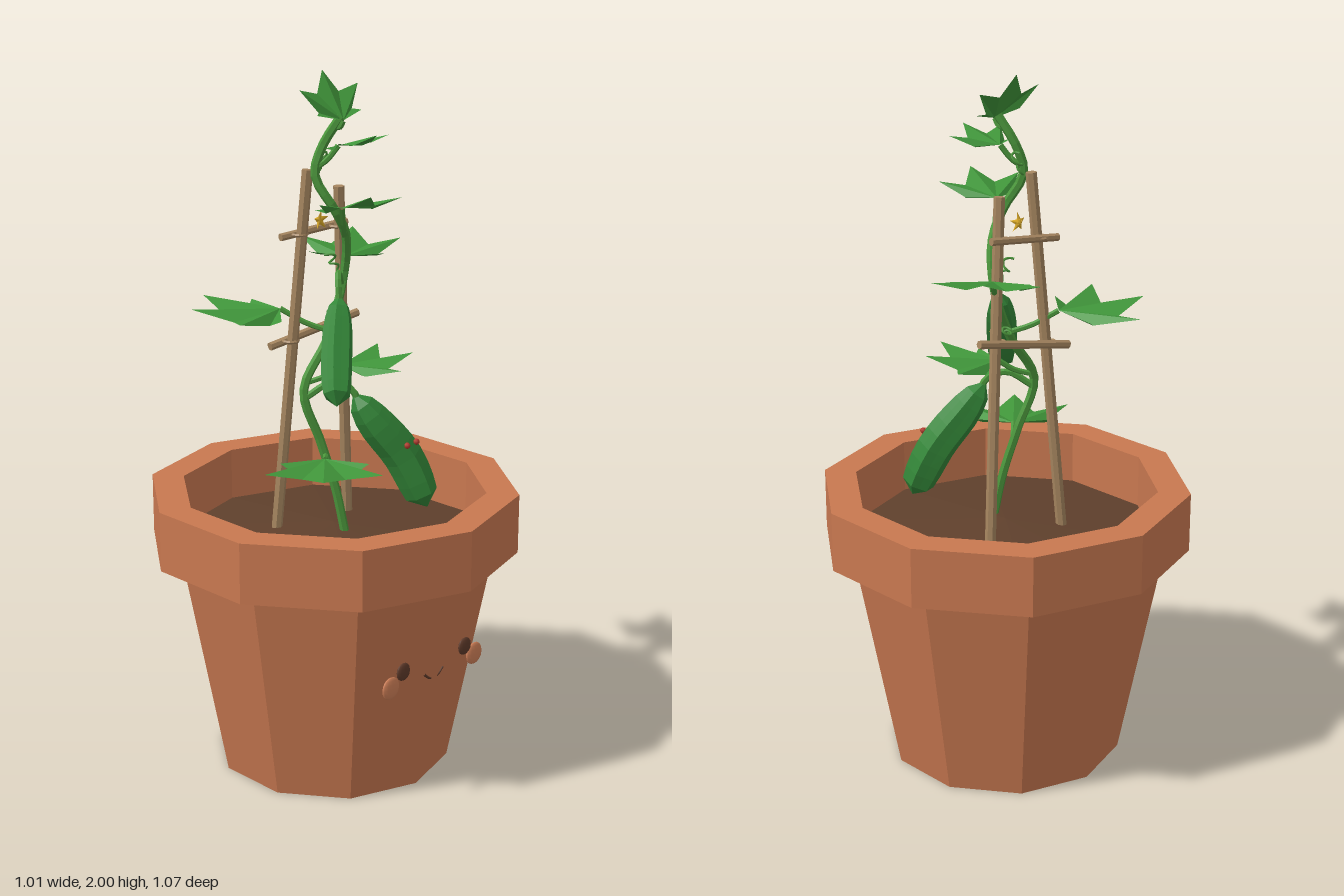
import * as THREE from 'three';

const mat = (name, color, side = THREE.FrontSide) => {
  const m = new THREE.MeshStandardMaterial({ color, side });
  m.name = name;
  return m;
};
const V = (p) => new THREE.Vector3(...p);
const curveOf = (pts) => new THREE.CatmullRomCurve3(pts.map(V));

// Faceted normals for a low-poly look
function faceted(geo) {
  const g = geo.index ? geo.toNonIndexed() : geo;
  g.computeVertexNormals();
  return g;
}

export function createModel() {
  const clay = mat('terracotta', 0xc87850);
  const soilMat = mat('soil brown', 0x5f402c);
  const wood = mat('cane wood', 0xa5855f);
  const leafMat = mat('leaf green', 0x40953a, THREE.DoubleSide);
  const stemMat = mat('stem green', 0x4b963c);
  const fruitMat = mat('cucumber green', 0x338638);
  const yellow = mat('flower yellow', 0xe2b02a, THREE.DoubleSide);
  const dark = mat('face brown', 0x5e3a2a);
  const blush = mat('cheek clay', 0xd08058);
  const red = mat('mark red', 0xb03a2c);

  const root = new THREE.Group();
  const add = (name, geo, material, pos = [0, 0, 0], parent = root) => {
    const m = new THREE.Mesh(geo, material);
    m.name = name;
    m.position.set(...pos);
    parent.add(m);
    return m;
  };

  // Pot: ten-sided, with a thick rim
  const profile = [[0, 0], [0.34, 0], [0.465, 0.65], [0.533, 0.65], [0.533, 0.823], [0.44, 0.823], [0.44, 0.65]];
  add('pot', faceted(new THREE.LatheGeometry(profile.map((p) => new THREE.Vector2(...p)), 10)), clay);
  add('soil', faceted(new THREE.ConeGeometry(0.44, 0.04, 10)), soilMat, [0, 0.69, 0]);

  // Face on the pot
  for (const s of [-1, 1]) {
    add('eye', new THREE.SphereGeometry(0.026, 12, 8).scale(1, 1, 0.3), dark, [s * 0.125, 0.41, 0.404]);
    add('cheek', new THREE.SphereGeometry(0.033, 12, 8).scale(1, 1, 0.25), blush, [s * 0.17, 0.373, 0.4]);
  }
  const smile = curveOf([[-0.038, 0.373, 0.4], [-0.02, 0.358, 0.401], [0, 0.353, 0.401], [0.02, 0.358, 0.401], [0.038, 0.373, 0.4]]);
  add('mouth', new THREE.TubeGeometry(smile, 12, 0.004, 6), dark);

  // Straight rods between two points
  const rod = (name, a, b, r) => {
    const from = V(a), to = V(b);
    const dir = to.clone().sub(from);
    const m = add(name, faceted(new THREE.CylinderGeometry(r, r, dir.length(), 7)), wood);
    m.position.copy(from).add(to).multiplyScalar(0.5);
    m.quaternion.setFromUnitVectors(new THREE.Vector3(0, 1, 0), dir.normalize());
  };
  rod('leftCane', [-0.115, 0.69, -0.115], [-0.045, 1.73, -0.055], 0.016);
  rod('rightCane', [0.125, 0.69, -0.07], [0.055, 1.675, -0.035], 0.016);
  rod('lowerCrossbar', [-0.135, 1.235, -0.115], [0.165, 1.29, -0.07], 0.012);
  rod('upperCrossbar', [-0.11, 1.545, -0.095], [0.11, 1.565, -0.06], 0.011);

  // Twine where canes and crossbars meet
  for (const p of [[-0.08, 1.247, -0.09], [0.088, 1.277, -0.065], [-0.058, 1.55, -0.075], [0.064, 1.56, -0.05]]) {
    add('tie', faceted(new THREE.TorusGeometry(0.022, 0.005, 5, 8)).rotateX(Math.PI / 2), wood, p);
  }

  // Vine and leaf stalks
  const tube = (name, pts, r, seg) =>
    add(name, faceted(new THREE.TubeGeometry(curveOf(pts), seg, r, 6)), stemMat);
  tube('vine', [[-0.01, 0.69, 0.06], [-0.03, 0.83, 0.04], [-0.06, 0.97, 0.01], [-0.095, 1.12, -0.02], [-0.01, 1.26, -0.01],
    [0.07, 1.42, -0.03], [0.05, 1.54, 0], [-0.01, 1.62, 0.02], [-0.05, 1.72, -0.02], [-0.03, 1.8, -0.01], [0, 1.88, 0.03]], 0.013, 44);

  // Five-lobed leaf, ridged along each lobe; axis +z
  const outline = [[-74, 0.58], [-60, 0.48], [-47, 1], [-24, 0.66], [0, 1.02], [24, 0.66], [47, 1], [60, 0.48], [74, 0.58]];
  const leafGeometry = (size) => {
    const pts = outline.map(([deg, r], i) => {
      const a = THREE.MathUtils.degToRad(deg);
      const y = i % 2 ? -0.1 : -0.02;
      return new THREE.Vector3(Math.sin(a) * r, y, Math.cos(a) * r).multiplyScalar(size);
    });
    const tris = [];
    for (let i = 0; i < pts.length - 1; i++) tris.push(new THREE.Vector3(), pts[i], pts[i + 1]);
    return faceted(new THREE.BufferGeometry().setFromPoints(tris));
  };
  // [base, heading, length, upward tilt, roll, point on vine]
  const leaves = [
    [[-0.1, 1.34, -0.11], -115, 0.25, 5, 0, [0.0, 1.275, -0.01]],
    [[0.12, 1.46, -0.075], 129, 0.2, 14, 0, [0.065, 1.4, -0.03]],
    [[-0.12, 0.95, 0.09], -45, 0.22, 3, 0, [-0.05, 0.93, 0.02]],
    [[0, 1.185, 0.03], 57, 0.205, 8, 0, [-0.075, 1.14, -0.02]],
    [[-0.03, 1.64, 0.065], -17, 0.17, 20, 0, [0.045, 1.54, 0]],
    [[0, 1.8, 0.02], 4, 0.14, 18, 0, [-0.045, 1.74, -0.02]],
    [[0, 1.87, 0.04], 180, 0.15, 58, 0, [-0.005, 1.85, 0.02]],
  ];
  for (const [base, heading, size, tilt, roll, from] of leaves) {
    const leaf = add('leaf', leafGeometry(size), leafMat, base);
    leaf.rotation.set(...[-tilt, heading, roll].map(THREE.MathUtils.degToRad), 'YXZ');
    const mid = V(from).lerp(V(base), 0.5).add(new THREE.Vector3(0, -0.008, 0)).toArray();
    tube('leafStalk', [from, mid, base], 0.008, 6);
  }

  // Cucumbers: ribbed tubes that taper along a curve
  const cucumber = (pts, r) => {
    const curve = curveOf(pts), seg = 10, sides = 12;
    const geo = new THREE.TubeGeometry(curve, seg, r, sides);
    const pos = geo.attributes.position, p = new THREE.Vector3();
    for (let i = 0; i < pos.count; i++) {
      const u = Math.floor(i / (sides + 1)) / seg;
      const c = curve.getPointAt(u);
      const rib = (i % (sides + 1)) % 2 ? 0.86 : 1;
      const taper = Math.pow(Math.max(0, 1 - Math.pow(Math.abs(2 * u - 1.1) / 1.1, 3)), 0.55) * (u === 1 ? 0 : 1);
      p.fromBufferAttribute(pos, i).sub(c).multiplyScalar(Math.max(taper, 0.02) * rib).add(c);
      pos.setXYZ(i, p.x, p.y, p.z);
    }
    add('cucumber', faceted(geo), fruitMat);
  };
  cucumber([[0.005, 1.11, 0.075], [0.05, 1.03, 0.11], [0.12, 0.92, 0.16], [0.165, 0.77, 0.215]], 0.056);
  cucumber([[0, 1.385, 0.025], [-0.03, 1.31, 0.05], [-0.085, 1.21, 0.1], [-0.138, 1.12, 0.155]], 0.045);
  tube('fruitStalk', [[-0.09, 1.1, -0.015], [-0.04, 1.14, 0.03], [0, 1.125, 0.07], [0.015, 1.09, 0.085]], 0.01, 8);
  tube('fruitStalk', [[0.06, 1.4, -0.03], [0.02, 1.44, 0], [0, 1.42, 0.02], [-0.005, 1.37, 0.03]], 0.01, 8);

  // Small marks on the lower cucumber
  for (const p of [[0.095, 0.965, 0.2], [0.14, 0.965, 0.193]]) {
    add('cucumberMark', new THREE.SphereGeometry(0.009, 8, 6), red, p);
  }

  // Star flowers, petals folded slightly forward
  for (const p of [[-0.02, 1.59, -0.035], [0.055, 1.29, -0.03]]) {
    const flower = new THREE.Group();
    flower.name = 'flower';
    flower.position.set(...p);
    root.add(flower);
    for (let i = 0; i < 5; i++) {
      const petal = add('petal', new THREE.ConeGeometry(0.011, 0.03, 4).translate(0, 0.015, 0).scale(1, 1, 0.4), yellow, [0, 0, 0], flower);
      petal.rotation.set(0.3, 0, (i * Math.PI * 2) / 5, 'ZXY');
    }
  }

  // Curly tendrils
  const tendril = (start, end) => {
    const a = V(start), b = V(end), pts = [];
    for (let i = 0; i <= 24; i++) {
      const t = i / 24, w = t * Math.PI * 5, r = 0.016 * t;
      const q = a.clone().lerp(b, t);
      pts.push([q.x + Math.cos(w) * r, q.y + Math.sin(w) * r * 0.5, q.z + Math.sin(w) * r]);
    }
    add('tendril', new THREE.TubeGeometry(curveOf(pts), 48, 0.0035, 5), stemMat);
  };
  tendril([0.065, 1.42, -0.03], [0.01, 1.49, -0.03]);
  tendril([0.0, 1.27, -0.01], [0.07, 1.31, -0.08]);
  tendril([-0.05, 1.7, -0.02], [-0.01, 1.78, -0.03]);

  return root;
}
